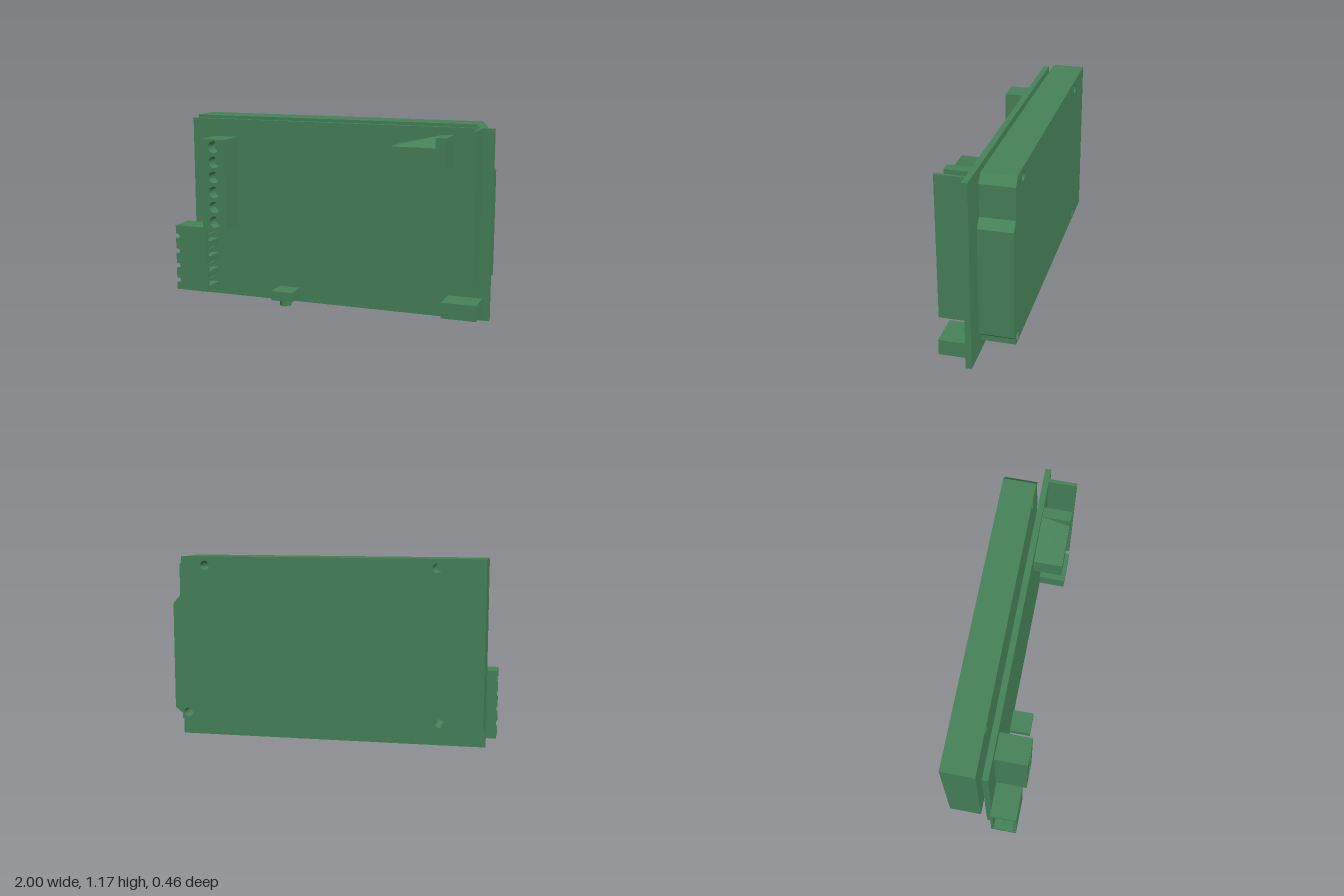
import * as THREE from 'three';

const mat = new THREE.MeshStandardMaterial({ color: 0x468259, flatShading: true });

function add(parent, name, geometry) {
  const mesh = new THREE.Mesh(geometry, mat);
  mesh.name = name;
  parent.add(mesh);
  return mesh;
}

// Box given by its limits on each axis
function box(parent, name, [x0, x1], [y0, y1], [z0, z1]) {
  const g = new THREE.BoxGeometry(x1 - x0, y1 - y0, z1 - z0);
  g.translate((x0 + x1) / 2, (y0 + y1) / 2, (z0 + z1) / 2);
  return add(parent, name, g);
}

// Flat outline with round holes, extruded from z0 to z1
function plate(parent, name, points, z0, z1, holes = [], radius = 0.03) {
  const shape = new THREE.Shape(points.map(([x, y]) => new THREE.Vector2(x, y)));
  for (const [x, y] of holes) {
    const hole = new THREE.Path();
    hole.absarc(x, y, radius, 0, Math.PI * 2, true);
    shape.holes.push(hole);
  }
  const g = new THREE.ExtrudeGeometry(shape, { depth: z1 - z0, bevelEnabled: false, curveSegments: 20 });
  g.translate(0, 0, z0);
  return add(parent, name, g);
}

const rect = (x0, x1, y0, y1) => [[x0, y0], [x1, y0], [x1, y1], [x0, y1]];

export function createModel() {
  const model = new THREE.Group();
  model.name = 'circuitBoardModule';

  box(model, 'circuitBoard', [-0.94, 1], [0.01, 1.155], [0.005, 0.04]);

  // Rear slab with stepped corners and four mounting holes
  plate(model, 'rearPanel', [
    [-0.94, 0.16], [0.92, 0.16], [0.92, 0.195], [0.965, 0.23], [0.965, 0.88],
    [0.92, 0.93], [0.92, 1.12], [0.88, 1.17], [-0.94, 1.17],
  ], -0.23, -0.03, [[0.76, 1.115], [-0.655, 1.115], [0.882, 0.2], [-0.68, 0.2]], 0.028);

  // Screw terminal block with six blind holes
  const terminal = new THREE.Group();
  terminal.name = 'screwTerminal';
  model.add(terminal);
  box(terminal, 'terminalBase', [-0.79, -0.63], [0.475, 1.045], [0.04, 0.15]);
  const screws = [];
  for (let i = 0; i < 6; i++) screws.push([-0.705, 0.525 + i * 0.0945]);
  plate(terminal, 'terminalFace', rect(-0.79, -0.63, 0.475, 1.045), 0.15, 0.23, screws, 0.036);

  // Side connector: hollow shell open to the side, with four bent pins
  const connector = new THREE.Group();
  connector.name = 'sideConnector';
  model.add(connector);
  const pinY = [0.12, 0.217, 0.313, 0.41];
  box(connector, 'shellTop', [-1, -0.84], [0.455, 0.48], [0.045, 0.205]);
  box(connector, 'shellBottom', [-1, -0.84], [0.06, 0.085], [0.045, 0.205]);
  box(connector, 'shellBack', [-1, -0.84], [0.085, 0.455], [0.045, 0.06]);
  box(connector, 'shellInnerWall', [-0.86, -0.83], [0.06, 0.48], [0.045, 0.205]);

  // Front wall with a notch beside each pin
  const wall = [[-0.84, 0.48], [-1, 0.48]];
  for (const y of [...pinY].reverse()) {
    wall.push([-1, y + 0.015], [-0.98, y + 0.015], [-0.972, y], [-0.98, y - 0.015], [-1, y - 0.015]);
  }
  wall.push([-1, 0.06], [-0.84, 0.06]);
  plate(connector, 'shellFront', wall, 0.185, 0.205);

  // Comb of slots on the inner side where the pins bend down
  const comb = [[0.205, 0.06], [0.205, 0.48], [0.045, 0.48]];
  for (const y of [...pinY].reverse()) {
    comb.push([0.045, y + 0.028], [0.18, y + 0.028], [0.18, y - 0.028], [0.045, y - 0.028]);
  }
  comb.push([0.045, 0.06]);
  const slots = plate(connector, 'pinSlots', comb, 0, 0.05);
  slots.rotation.y = -Math.PI / 2;
  slots.position.x = -0.78;

  for (const y of pinY) {
    box(connector, 'pinArm', [-0.96, -0.805], [y - 0.009, y + 0.009], [0.112, 0.13]);
    box(connector, 'pinLeg', [-0.823, -0.805], [y - 0.009, y + 0.009], [-0.015, 0.13]);
    const tip = new THREE.CylinderGeometry(0.0127, 0.008, 0.013, 4);
    tip.rotateY(Math.PI / 4).rotateX(Math.PI / 2).translate(-0.814, y, -0.0215);
    add(connector, 'pinTip', tip);
  }

  // Push button on the lower edge
  box(model, 'buttonBase', [-0.35, -0.21], [0.04, 0.1], [0.04, 0.175]);
  const stub = new THREE.CylinderGeometry(0.037, 0.037, 0.05, 32);
  stub.translate(-0.28, 0.025, 0.108);
  add(model, 'buttonPlunger', stub);

  box(model, 'cornerSocket', [0.75, 0.96], [0.05, 0.145], [0.04, 0.21]);
  box(model, 'uprightCard', [0.915, 0.935], [0.28, 1.155], [0.04, 0.21]);

  // Upper connector: low body, raised end and a sloping ramp between them
  const upper = new THREE.Group();
  upper.name = 'upperConnector';
  model.add(upper);
  box(upper, 'upperBody', [0.43, 0.7], [0.925, 1.05], [0.04, 0.21]);
  box(upper, 'upperEnd', [0.7, 0.765], [0.925, 1.11], [0.04, 0.21]);
  const ramp = new THREE.BoxGeometry(0.27, 0.06, 0.17).translate(0.565, 1.08, 0.125);
  const p = ramp.attributes.position;
  for (let i = 0; i < p.count; i++) {
    if (p.getX(i) < 0.5 || p.getZ(i) > 0.1) p.setY(i, 1.05);
  }
  ramp.computeVertexNormals();
  add(upper, 'upperRamp', ramp);

  return model;
}
